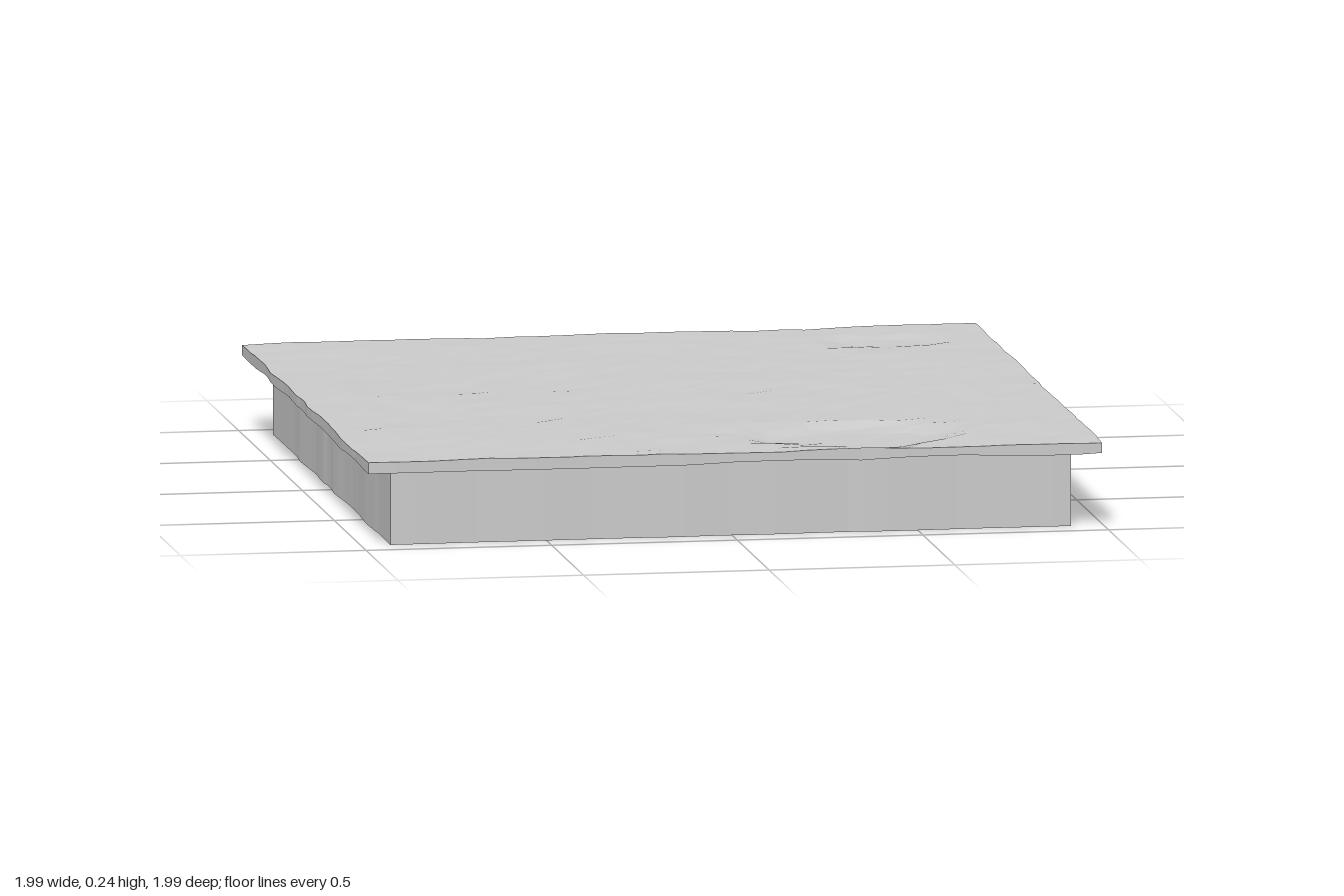
import * as THREE from 'three';

const N = 30;            // grid cells along each side
const TOP = 0.234;       // height of the stone surface
const RIM = 0.206;       // height of the slab's lower edge
const INSET = 0.928;     // skirt size relative to the slab

// Repeatable value noise in the range -1..1
const hash = (i, j) => {
  const s = Math.sin(i * 127.1 + j * 311.7 + 17.3) * 43758.5453;
  return (s - Math.floor(s)) * 2 - 1;
};
function noise(x, z) {
  const i = Math.floor(x), j = Math.floor(z);
  const u = x - i, v = z - j;
  const a = THREE.MathUtils.lerp(hash(i, j), hash(i + 1, j), u);
  const b = THREE.MathUtils.lerp(hash(i, j + 1), hash(i + 1, j + 1), u);
  return THREE.MathUtils.lerp(a, b, v);
}

// Shallow chipped hollow with an irregular, steep border
function chip(x, z, cx, cz, rx, rz, depth) {
  const d = Math.hypot((x - cx) / rx, (z - cz) / rz) + 0.15 * noise(x * 9, z * 9);
  return -depth * (1 - THREE.MathUtils.smoothstep(d, 0.75, 1.05));
}

// Surface point for grid position i, j
function slabPoint(i, j) {
  const s = (i / N) * 2 - 1, t = (j / N) * 2 - 1;
  const onX = i === 0 || i === N, onZ = j === 0 || j === N;
  // worn outline on the border, small jitter inside
  const wear = (k, side) => 0.99 + 0.006 * noise(k * 0.55, side * 7 + 3);
  const x = onX ? s * wear(j, s) - 0.003 : s * 0.99 + 0.015 * hash(i, j + 50);
  const z = onZ ? t * wear(i, t + 5) : t * 0.99 + 0.015 * hash(i + 50, j);
  let y = TOP + 0.003 * noise(x * 6, z * 6) + 0.0015 * hash(i, j);
  y += chip(x, z, 0.35, 0.74, 0.27, 0.2, 0.014);
  y += chip(x, z, 0.7, -0.75, 0.16, 0.11, 0.008);
  return new THREE.Vector3(x, y, z);
}

// Open band of quads between two closed rings of points
function band(upper, lower) {
  const n = upper.length;
  const g = new THREE.BufferGeometry().setFromPoints([...upper, ...lower]);
  const index = [];
  for (let k = 0; k < n; k++) {
    const m = (k + 1) % n;
    index.push(k, n + k, n + m, k, n + m, m);
  }
  g.setIndex(index);
  g.computeVertexNormals();
  return g;
}

export function createModel() {
  const group = new THREE.Group();
  group.name = 'stoneFloorTile';
  const stone = new THREE.MeshStandardMaterial({
    color: 0xcccccc, flatShading: true, side: THREE.DoubleSide,
  });
  const add = (name, geometry) => {
    const mesh = new THREE.Mesh(geometry, stone);
    mesh.name = name;
    group.add(mesh);
  };

  // Uneven top surface
  const top = new THREE.PlaneGeometry(2, 2, N, N).rotateX(-Math.PI / 2);
  const pos = top.attributes.position;
  for (let j = 0; j <= N; j++) {
    for (let i = 0; i <= N; i++) {
      const p = slabPoint(i, j);
      pos.setXYZ(j * (N + 1) + i, p.x, p.y, p.z);
    }
  }
  top.computeVertexNormals();
  add('topSurface', top);

  // Border of the top: front, right edge, back, left edge
  const border = [];
  for (let k = 0; k < N; k++) border.push(slabPoint(k, N));
  for (let k = 0; k < N; k++) border.push(slabPoint(N, N - k));
  for (let k = 0; k < N; k++) border.push(slabPoint(N - k, 0));
  for (let k = 0; k < N; k++) border.push(slabPoint(0, k));

  const rimY = (k) => RIM + 0.005 * noise(k * 0.45, 40);
  const rim = border.map((p, k) => new THREE.Vector3(p.x, rimY(k), p.z));
  const neck = rim.map((p) => new THREE.Vector3(p.x * INSET, p.y, p.z * INSET));
  const foot = neck.map((p) => new THREE.Vector3(p.x, 0, p.z));

  // Slab edge, overhang underneath, and hollow skirt open at the bottom
  add('slabEdge', band(border, rim));
  add('overhangUnderside', band(rim, neck));
  add('skirtWalls', band(neck, foot));

  return group;
}
